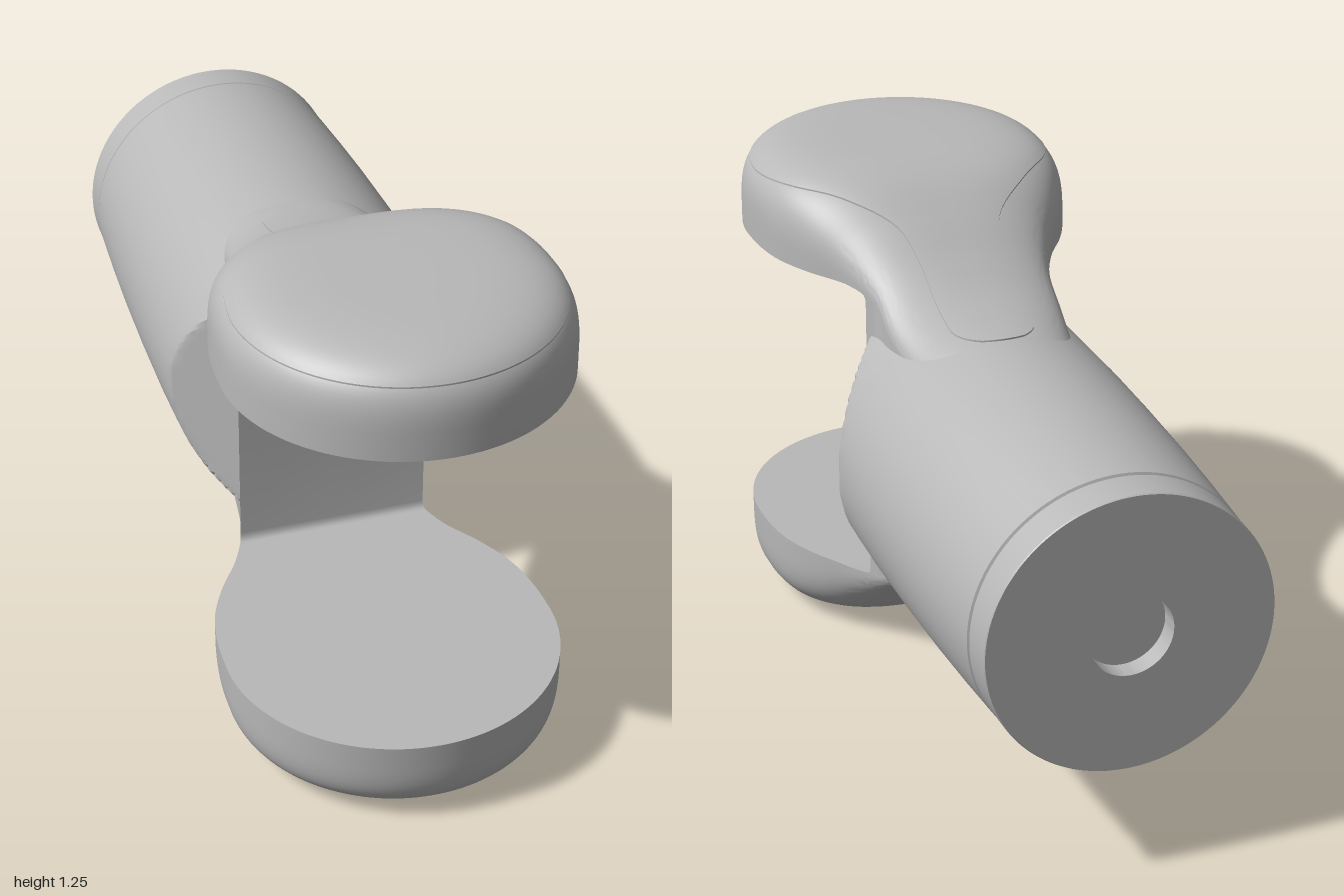
import * as THREE from 'three';
import { toCreasedNormals } from 'three/addons/utils/BufferGeometryUtils.js';

const C = 0.624; // height of the arm axis
const HUB = 0.6; // z of the fork hub centre
const SLAB = 1.02; // inner face of the upper prong

// Smooth function of z through evenly spaced values (z = start, start + 0.1, ...)
function along(start, values) {
  const curve = new THREE.SplineCurve(values.map((v, i) => new THREE.Vector2(i, v)));
  const span = 0.1 * (values.length - 1);
  return (z) => curve.getPoint(THREE.MathUtils.clamp((z - start) / span, 0, 1)).y;
}
const width = along(-0.3, [0.2, 0.2, 0.21, 0.222, 0.23, 0.273, 0.335, 0.38, 0.4, 0.405]);
const crown = along(-0.3, [0.96, 0.992, 1.004, 1.03, 1.085, 1.155, 1.215, 1.242, 1.246, 1.246]);
const rimCurve = along(-0.3, [0.85, 0.88, 0.91, 0.95, 1.0, 1.02, 1.02, 1.02, 1.02, 1.02]);
const rim = (z) => Math.min(SLAB, rimCurve(z));
const power = along(-0.3, [2.2, 2.2, 2.2, 2.2, 2.4, 2.8, 3.4, 4, 4.5, 4.6]);

// Height of the domed prong at x, z
function domeHeight(x, z) {
  const zc = Math.min(z, HUB);
  const u = Math.min(1, Math.hypot(x, z - zc) / width(zc));
  const n = power(zc);
  return rim(zc) + (crown(zc) - rim(zc)) * Math.pow(1 - Math.pow(u, n), 1 / n);
}

// Surface through equal rows of points
function surface(rows, crease) {
  const cols = rows[0].length;
  const index = [];
  for (let s = 0; s < rows.length - 1; s++) {
    for (let k = 0; k < cols - 1; k++) {
      const a = s * cols + k;
      const b = a + cols;
      index.push(a, b, a + 1, b, b + 1, a + 1);
    }
  }
  const g = new THREE.BufferGeometry();
  g.setAttribute('position', new THREE.Float32BufferAttribute(rows.flat(2), 3));
  g.setIndex(index);
  return toCreasedNormals(g, crease);
}

// Outline: up the +x side, round the hub, back down the -x side
function outline(side, radius) {
  const arc = [];
  for (let i = 1; i < 64; i++) {
    const a = (i / 64) * Math.PI;
    arc.push({ x: radius * Math.cos(a), z: HUB + radius * Math.sin(a), zc: HUB });
  }
  const back = side.map((p) => ({ ...p, x: -p.x })).reverse();
  return [...side, ...arc, ...back];
}

// Prong with its half of the post between the prongs
function prongGeometry() {
  const side = [];
  const add = (z, floor) => side.push({ x: width(z), z, zc: z, floor });
  for (let i = 0; i <= 20; i++) add(-0.3 + (0.43 * i) / 20, C);
  for (let i = 0; i <= 5; i++) { // fillet in the fork corner
    const a = (i / 5) * Math.PI / 2;
    add(0.16 - 0.03 * Math.cos(a), SLAB - 0.03 + 0.03 * Math.sin(a));
  }
  for (let i = 1; i <= 24; i++) add(0.16 + (0.44 * i) / 24, SLAB);

  const STEPS = 24;
  const rows = outline(side, width(HUB)).map((p) => {
    const n = power(p.zc), base = rim(p.zc), top = crown(p.zc);
    const floor = Math.min(base, p.floor ?? SLAB);
    const row = [];
    for (let k = 0; k <= STEPS; k++) {
      const a = (1 - k / STEPS) * Math.PI / 2;
      const u = Math.pow(Math.max(0, Math.cos(a)), 2 / n);
      const h = Math.pow(Math.sin(a), 2 / n);
      row.push([p.x * u, base + (top - base) * h - C, p.zc + (p.z - p.zc) * u]);
    }
    row.push([p.x, floor - C, p.z], [0, floor - C, p.zc]);
    return row;
  });
  return surface(rows, 0.6);
}

// Thin cover following the crown of the upper prong
function coverGeometry() {
  const half = along(-0.1, [0.105, 0.105, 0.107, 0.135, 0.235, 0.325, 0.367, 0.38]);
  const side = [];
  for (let i = 0; i < 12; i++) {
    const a = (i / 12) * Math.PI / 2;
    side.push({ x: 0.105 * Math.sin(a), z: -0.1 - 0.105 * Math.cos(a), zc: -0.1 });
  }
  for (let i = 0; i <= 40; i++) {
    const z = -0.1 + (0.7 * i) / 40;
    side.push({ x: half(z), z, zc: z });
  }
  const rows = outline(side, 0.38).map((p) => {
    const row = [];
    for (let k = 0; k <= 20; k++) {
      const u = 1 - Math.pow(1 - k / 20, 1.5);
      const x = p.x * u, z = p.zc + (p.z - p.zc) * u;
      const tube = z < 0.1 ? C + Math.sqrt(0.371 ** 2 - x * x) : 0;
      row.push([x, Math.max(domeHeight(x, z), tube) + 0.004, z]);
    }
    const [x, y, z] = row[20];
    row.push([x, y - 0.008, z]);
    return row;
  });
  return surface(rows, 0.6);
}

// Round arm with a rear socket; its front end is chamfered on both sides
function armGeometry() {
  const profile = [
    [0, -0.95], [0.1, -0.95], [0.1, -1], [0.34, -1], [0.342, -0.997],
    [0.344, -0.911], [0.34, -0.908], [0.34, -0.904], [0.346, -0.901],
    [0.355, -0.75], [0.362, -0.6], [0.368, -0.4], [0.371, -0.2], [0.37, -0.06],
  ];
  for (let i = 0; i <= 10; i++) profile.push([0.369, -0.03 + 0.0155 * i]);
  profile.push([0, 0.125]);
  const g = new THREE.LatheGeometry(profile.map(([r, z]) => new THREE.Vector2(r, z)), 128);
  g.rotateX(Math.PI / 2);
  const pos = g.attributes.position;
  for (let i = 0; i < pos.count; i++) {
    const z = pos.getZ(i);
    if (z < -0.04) continue;
    const limit = 0.365 - (z + 0.03) * 0.88;
    pos.setX(i, THREE.MathUtils.clamp(pos.getX(i), -limit, limit));
  }
  return toCreasedNormals(g, 0.5);
}

export function createModel() {
  const model = new THREE.Group();
  model.name = 'forkedArmLink';
  const grey = new THREE.MeshStandardMaterial({ color: 0xb8b8b8 });
  grey.name = 'grey';

  const add = (name, geometry, y = 0) => {
    const mesh = new THREE.Mesh(geometry, grey);
    mesh.name = name;
    mesh.position.y = y;
    model.add(mesh);
    return mesh;
  };
  add('arm', armGeometry(), C);
  const prong = prongGeometry();
  add('upperProng', prong, C);
  add('lowerProng', prong, C).rotation.z = Math.PI;
  add('topCover', coverGeometry());
  return model;
}
